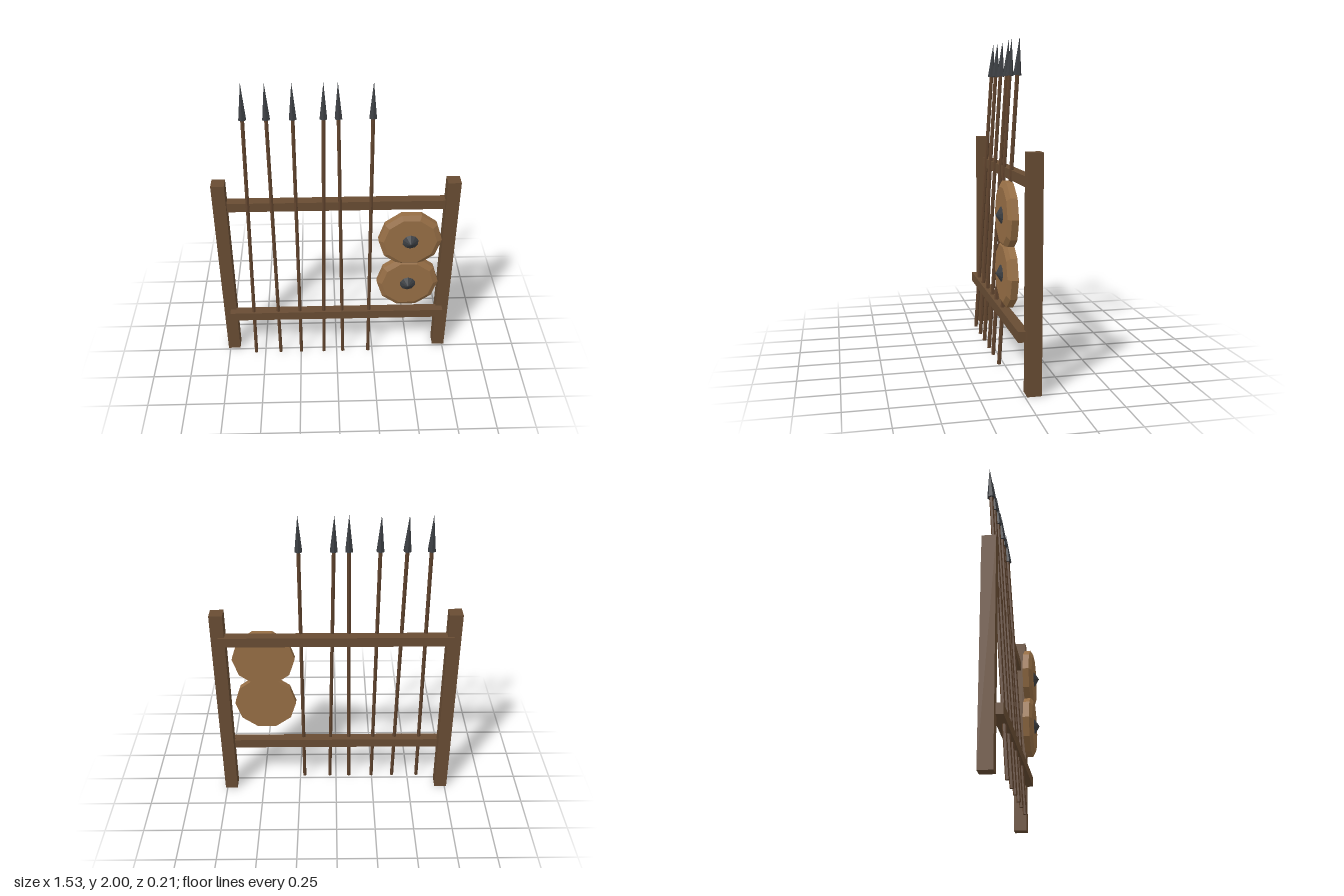
import * as THREE from 'three';

const mat = (name, color) => {
  const m = new THREE.MeshStandardMaterial({ color });
  m.name = name;
  return m;
};

// Faceted mesh: split vertices so each face keeps its own normal
function part(name, geometry, material) {
  const g = geometry.index ? geometry.toNonIndexed() : geometry;
  g.computeVertexNormals();
  const mesh = new THREE.Mesh(g, material);
  mesh.name = name;
  return mesh;
}

export function createModel() {
  const timber = mat('timber', 0x684c33);
  const shaftWood = mat('shaft wood', 0x5f432d);
  const shieldWood = mat('shield wood', 0x966e45);
  const iron = mat('iron', 0x3c3f43);

  const rack = new THREE.Group();
  rack.name = 'spearRack';

  // Upright posts
  for (const side of [-1, 1]) {
    const post = part(side > 0 ? 'leftPost' : 'rightPost', new THREE.BoxGeometry(0.082, 1.36, 0.084), timber);
    post.position.set(side * 0.722, 0.68, -0.054);
    rack.add(post);
  }

  // Cross rails: lower in front of the posts, upper behind
  for (const [name, y, z] of [['lowerRail', 0.333, 0], ['upperRail', 1.18, -0.075]]) {
    const rail = part(name, new THREE.BoxGeometry(1.44, 0.062, 0.062), timber);
    rail.position.set(0, y, z);
    rack.add(rail);
  }

  // Leaning spears: [x at the foot, x at the tip]
  const spears = [[-0.565, -0.542], [-0.393, -0.408], [-0.248, -0.253], [-0.09, -0.072], [0.043, 0.01], [0.22, 0.215]];
  const up = new THREE.Vector3(0, 1, 0);
  const headLength = 0.225;
  for (const [footX, tipX] of spears) {
    const foot = new THREE.Vector3(footX, 0.001, 0.031);
    const axis = new THREE.Vector3(tipX, 2, -0.094).sub(foot);
    const length = axis.length();
    const shaftLength = length - headLength;

    const spear = new THREE.Group();
    spear.name = 'spear';
    const shaft = part('spearShaft', new THREE.CylinderGeometry(0.0125, 0.0125, shaftLength, 6), shaftWood);
    shaft.position.y = shaftLength / 2;
    const head = part('spearHead', new THREE.ConeGeometry(0.025, headLength, 6), iron);
    head.position.y = shaftLength + headLength / 2;
    spear.add(shaft, head);
    spear.position.copy(foot);
    spear.quaternion.setFromUnitVectors(up, axis.normalize());
    rack.add(spear);
  }

  // Ten-sided shields with a bevelled rim and a pointed iron boss
  for (const y of [0.98, 0.64]) {
    const shield = new THREE.Group();
    shield.name = 'shield';
    const profile = [[0, 0], [0.2, 0], [0.2, 0.04], [0.168, 0.058], [0, 0.058]];
    const board = part('shieldBoard',
      new THREE.LatheGeometry(profile.map(([r, h]) => new THREE.Vector2(r, h)), 10, Math.PI / 2), shieldWood);
    const boss = part('shieldBoss', new THREE.ConeGeometry(0.051, 0.033, 10), iron);
    boss.position.y = 0.058 + 0.0165;
    shield.add(board, boss);
    shield.rotation.x = Math.PI / 2;
    shield.position.set(0.463, y, 0.014);
    rack.add(shield);
  }

  return rack;
}
